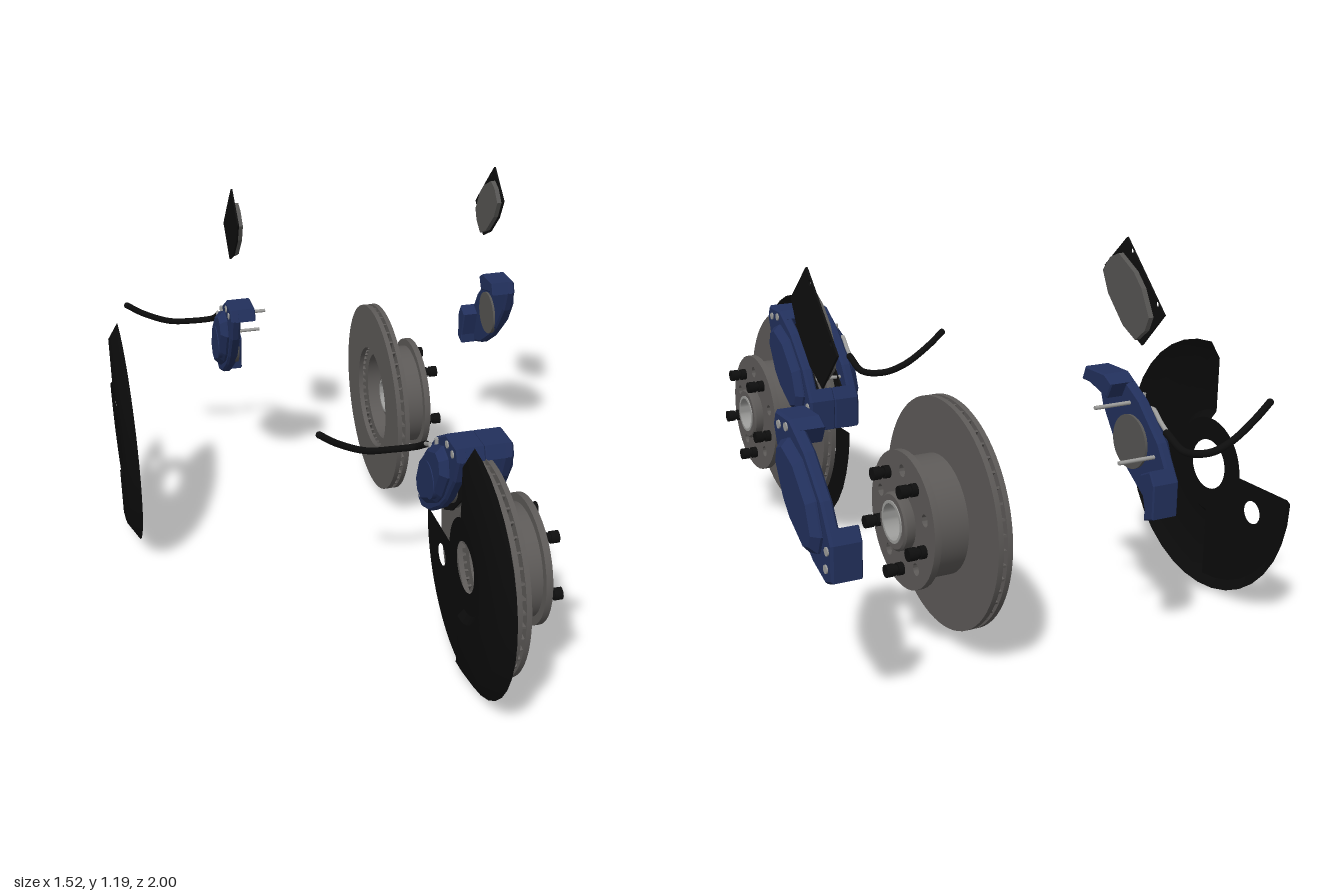
import * as THREE from 'three';
import { toCreasedNormals } from 'three/addons/utils/BufferGeometryUtils.js';

const mat = (name, color, side = THREE.FrontSide) => {
  const m = new THREE.MeshStandardMaterial({ color, side });
  m.name = name;
  return m;
};
const IRON = mat('cast iron', 0x5d5a58);
const NAVY = mat('navy paint', 0x22305c);
const BLACK = mat('black', 0x0e0e0e);
const SHEET = mat('black sheet metal', 0x0b0b0b, THREE.DoubleSide);
const STEEL = mat('bright steel', 0x9c9c9a);
const LINING = mat('friction lining', 0x565553);

// All parts are built around the wheel axis (x), with x = 0 in the disc's mid plane.
// Flat outlines use (a, b): a points to -z, b points up.
const add = (group, name, geo, material) => {
  const mesh = new THREE.Mesh(geo, material);
  mesh.name = name;
  group.add(mesh);
  return mesh;
};
const named = (name) => {
  const g = new THREE.Group();
  g.name = name;
  return g;
};
const outline = (pts) => new THREE.Shape(pts.map(([a, b]) => new THREE.Vector2(a, b)));
const circle = (a, b, r) => new THREE.Path().absarc(a, b, r, 0, Math.PI * 2, false);
const swap = (pts) => pts.map(([a, b]) => [b, a]);

// Slab from x0 to x1, on side s (+1 outboard, -1 inboard)
function slab(shape, x0, x1, s = 1, bevel = 0) {
  const depth = x1 - x0 - 2 * bevel;
  const g = new THREE.ExtrudeGeometry(shape, {
    depth, curveSegments: 20, bevelEnabled: bevel > 0, bevelSegments: 1,
    bevelThickness: bevel, bevelSize: bevel, bevelOffset: -bevel,
  });
  g.rotateY(Math.PI / 2);
  g.translate(s > 0 ? x0 + bevel : -x1 + bevel, 0, 0);
  return g;
}

// Turned part from [radius, x] points, counter-clockwise when closed
function turned(pts, seg = 64, start = 0, sweep = Math.PI * 2) {
  const g = new THREE.LatheGeometry(pts.map(([r, x]) => new THREE.Vector2(r, x)), seg, start, sweep);
  return toCreasedNormals(g.rotateZ(-Math.PI / 2), 0.6);
}

// Cylinder along x
function rod(x0, x1, r, a, b, seg = 16) {
  const g = new THREE.CylinderGeometry(r, r, Math.abs(x1 - x0), seg);
  return g.rotateZ(-Math.PI / 2).translate((x0 + x1) / 2, b, -a);
}

function dustShield() {
  const g = named('dustShield');
  const PI = Math.PI;
  // hub ring, deep front half, shallow lower rear quarter
  add(g, 'shieldHubRing', turned([[0.08, -0.058], [0.152, -0.058]], 40), SHEET);
  add(g, 'shieldFrontHalf', turned([[0.15, -0.058], [0.172, -0.078], [0.345, -0.078], [0.4025, -0.043]], 18, -PI / 2, PI), SHEET);
  add(g, 'shieldRearRim', turned([[0.372, -0.058], [0.4025, -0.043]], 9, PI / 2, PI / 2), SHEET);
  const quarter = new THREE.Shape();
  quarter.absarc(0, 0, 0.374, 0, -PI / 2, true);
  quarter.absarc(0, 0, 0.15, -PI / 2, 0, false);
  quarter.holes.push(circle(0.22, -0.09, 0.036));
  add(g, 'shieldRearPlate', new THREE.ShapeGeometry(quarter, 20).rotateY(PI / 2).translate(-0.058, 0, 0), SHEET);
  // step between the two depths
  const step = outline([[0.15, -0.058], [0.172, -0.078], [0.345, -0.078], [0.4025, -0.043], [0.372, -0.058]]);
  add(g, 'shieldStep', new THREE.ShapeGeometry(step).rotateZ(-PI / 2), SHEET);
  return g;
}

function rotor() {
  const g = named('rotor');
  add(g, 'innerDisc', turned([[0.185, -0.022], [0.343, -0.022], [0.343, -0.006], [0.185, -0.006]], 72), IRON);
  add(g, 'outerDiscAndHat', turned([[0.158, 0.006], [0.343, 0.006], [0.343, 0.022], [0.177, 0.022],
    [0.177, 0.123], [0.158, 0.123], [0.158, 0.006]], 72), IRON);
  // close the inner disc's bore
  add(g, 'innerDiscBore', turned([[0.185, -0.006], [0.185, -0.022]], 72), IRON);
  // cooling vanes
  const vanes = 48;
  for (let i = 0; i < vanes; i++) {
    const v = new THREE.BoxGeometry(0.014, 0.15, 0.007).translate(0, 0.263, 0);
    add(g, 'vane', v.rotateX((i / vanes) * Math.PI * 2), IRON);
  }
  // wheel flange with holes alternating with studs
  const flange = new THREE.Shape().absarc(0, 0, 0.203, 0, Math.PI * 2, false);
  flange.holes.push(circle(0, 0, 0.058));
  for (let i = 0; i < 10; i++) {
    const t = (i * Math.PI) / 5, a = 0.148 * Math.sin(t), b = 0.148 * Math.cos(t);
    if (i % 2 === 0) {
      flange.holes.push(circle(a, b, 0.018));
    } else {
      add(g, 'wheelStud', rod(0.1, 0.172, 0.014, a, b), BLACK);
      add(g, 'studCollar', rod(0.142, 0.16, 0.019, a, b), BLACK);
      add(g, 'studTip', rod(0.17, 0.196, 0.019, a, b), BLACK);
    }
  }
  add(g, 'wheelFlange', toCreasedNormals(slab(flange, 0.121, 0.142), 0.6), IRON);
  // hub with bright bore
  add(g, 'hub', turned([[0.06, 0.03], [0.078, 0.03], [0.078, 0.12], [0.086, 0.14], [0.086, 0.168],
    [0.08, 0.174], [0.06, 0.174], [0.06, 0.03]], 40), IRON);
  add(g, 'hubBore', turned([[0.054, 0.025], [0.063, 0.025], [0.063, 0.177], [0.054, 0.177], [0.054, 0.025]], 40), STEEL);
  return g;
}

function brakePad(s) {
  const g = named(s > 0 ? 'outerPad' : 'innerPad');
  const back = outline([[0.16, 0.347], [0.347, 0.16], [0.25, 0.055], [0.175, 0.095], [0.095, 0.175], [0.055, 0.25]]);
  back.holes.push(circle(0.185, 0.312, 0.008), circle(0.312, 0.185, 0.008));
  add(g, 'backingPlate', slab(back, 0.039, 0.045, s), BLACK);
  const lining = [[0.145, 0.3], [0.22, 0.26]];
  const inner = [[0.1, 0.178], [0.07, 0.24], [0.105, 0.283]];
  add(g, 'lining', slab(outline([...lining, ...swap(lining).reverse(), ...swap(inner).reverse(), ...inner]), 0.023, 0.039, s), LINING);
  return g;
}

function caliperHalf(s) {
  const g = named(s > 0 ? 'outerCaliper' : 'innerCaliper');
  const full = (half) => outline([...half, ...swap(half).reverse()]);
  // main slab and raised, chamfered cover
  add(g, 'caliperBody', slab(full([[0.115, 0.17], [0.045, 0.27], [0.015, 0.35], [0.03, 0.39], [0.13, 0.39], [0.23, 0.33]]),
    0.054, 0.088, s, 0.007), NAVY);
  add(g, 'caliperCover', slab(full([[0.13, 0.175], [0.075, 0.27], [0.09, 0.325], [0.14, 0.345], [0.225, 0.31]]),
    0.07, 0.116, s, 0.02), NAVY);
  // bridge feet that straddle the disc at both ends
  const foot = [[0.015, 0.348], [0.03, 0.39], [0.13, 0.39], [0.168, 0.368], [0.145, 0.322], [0.05, 0.348]];
  const bolts = [[0.06, 0.358], [0.11, 0.365]];
  for (const flip of [(p) => p, swap]) {
    add(g, 'bridgeFoot', slab(outline(flip(foot)), 0, 0.08, s, 0.004), NAVY);
    for (const [a, b] of flip(bolts)) add(g, 'bridgeBolt', rod(s * 0.08, s * 0.092, 0.012, a, b, 12), STEEL);
  }
  add(g, 'piston', rod(s * 0.046, s * 0.06, 0.08, 0.2, 0.2, 32), LINING);
  if (s > 0) return g;

  // inboard side: piston housing, pad pins, brake pipe and hose
  add(g, 'pistonHousing', rod(-0.1, -0.119, 0.06, 0.2, 0.2, 28), NAVY);
  for (const [a, b] of [[0.185, 0.312], [0.312, 0.185]]) add(g, 'padPin', rod(-0.09, 0.066, 0.006, a, b, 10), STEEL);
  const path = (pts) => new THREE.CatmullRomCurve3(pts.map((p) => new THREE.Vector3(...p)));
  add(g, 'bleedScrew', new THREE.CylinderGeometry(0.008, 0.008, 0.07, 10).translate(-0.09, 0.305, -0.2), STEEL);
  add(g, 'brakePipe', new THREE.TubeGeometry(path([[-0.1, 0.29, -0.2], [-0.1, 0.3, -0.235], [-0.092, 0.275, -0.285],
    [-0.085, 0.252, -0.335]]), 20, 0.007, 8), STEEL);
  const hose = path([[-0.085, 0.255, -0.325], [-0.102, 0.216, -0.385], [-0.17, 0.207, -0.404], [-0.26, 0.222, -0.39],
    [-0.36, 0.272, -0.372], [-0.415, 0.312, -0.365]]);
  add(g, 'brakeHose', new THREE.TubeGeometry(hose, 40, 0.011, 10), BLACK);
  for (const t of [0, 1]) {
    const cap = add(g, 'hoseEnd', new THREE.SphereGeometry(0.0115, 10, 8), BLACK);
    cap.position.copy(hose.getPoint(t));
  }
  return g;
}

// One whole brake; spread moves its parts apart
function brake(name, spread) {
  const g = named(name);
  const place = (part, x, y = 0) => {
    part.position.set(x * spread, y * spread, 0);
    g.add(part);
  };
  place(dustShield(), -2);
  place(rotor(), 0);
  for (const s of [-1, 1]) {
    place(caliperHalf(s), s);
    place(brakePad(s), s, 1);
  }
  return g;
}

export function createModel() {
  const model = named('discBrakes');
  const assembled = brake('assembledBrake', 0);
  assembled.position.set(0.203, 0.4025, 0.597);
  const exploded = brake('explodedBrake', 0.443);
  exploded.position.set(0.203, 0.4025, -0.585);
  model.add(assembled, exploded);
  return model;
}
